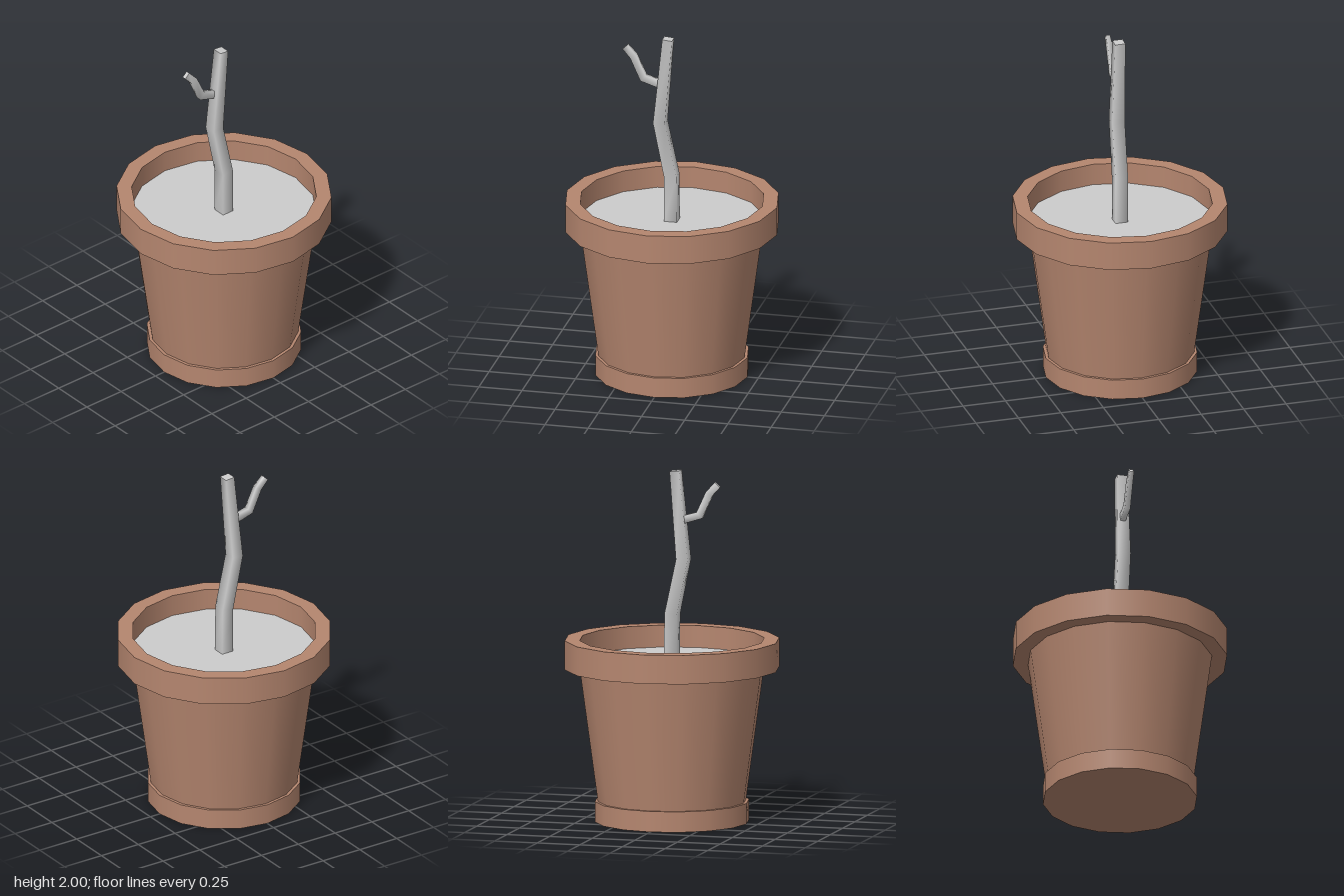
import * as THREE from 'three';
import { mergeGeometries } from 'three/addons/utils/BufferGeometryUtils.js';

const SIDES = 16;

// One lathe per straight profile step keeps the horizontal edges sharp.
function turned(profile) {
  const bands = [];
  for (let i = 0; i < profile.length - 1; i++) {
    const points = [profile[i], profile[i + 1]].map(([r, y]) => new THREE.Vector2(r, y));
    bands.push(new THREE.LatheGeometry(points, SIDES));
  }
  return mergeGeometries(bands);
}

// Square-section stem bending in the YZ plane; rings are [x, y, z, halfX, halfDepth].
function stem(rings) {
  const positions = [], index = [];
  const centre = rings.map(([x, y, z]) => new THREE.Vector3(x, y, z));
  const addCorners = (i) => {
    const [x, y, z, hx, hd] = rings[i];
    const before = centre[Math.max(i - 1, 0)];
    const after = centre[Math.min(i + 1, rings.length - 1)];
    const t = after.clone().sub(before).normalize();
    const n = new THREE.Vector3(0, -t.z, t.y).normalize();
    for (const [sx, sn] of [[1, 1], [1, -1], [-1, -1], [-1, 1]]) {
      positions.push(x + sx * hx, y + sn * hd * n.y, z + sn * hd * n.z);
    }
  };
  rings.forEach((_, i) => addCorners(i));
  for (let i = 0; i < rings.length - 1; i++) {
    for (let k = 0; k < 4; k++) {
      const a = i * 4 + k, b = i * 4 + (k + 1) % 4;
      index.push(a, b, b + 4, a, b + 4, a + 4);
    }
  }
  // End caps have their own corners so their edges stay sharp.
  const c = rings.length * 4;
  addCorners(0);
  index.push(c, c + 2, c + 1, c, c + 3, c + 2);
  addCorners(rings.length - 1);
  index.push(c + 4, c + 5, c + 6, c + 4, c + 6, c + 7);
  const geometry = new THREE.BufferGeometry();
  geometry.setAttribute('position', new THREE.Float32BufferAttribute(positions, 3));
  geometry.setIndex(index);
  geometry.computeVertexNormals();
  return geometry;
}

export function createModel() {
  const model = new THREE.Group();
  model.name = 'pottedSapling';

  const terracotta = new THREE.MeshStandardMaterial({ color: 0xb5866f });
  terracotta.name = 'terracotta';
  const paleGrey = new THREE.MeshStandardMaterial({ color: 0xcccccc });
  paleGrey.name = 'paleGrey';

  const add = (name, geometry, material) => {
    const mesh = new THREE.Mesh(geometry, material);
    mesh.name = name;
    model.add(mesh);
    return mesh;
  };

  // Pot: foot, tapering body and overhanging rim
  add('potFoot', turned([[0, 0], [0.437, 0], [0.437, 0.117], [0.41, 0.117]]), terracotta);
  add('potBody', turned([[0.42, 0.117], [0.522, 0.87]]), terracotta);
  add('potRim', turned([[0.515, 0.87], [0.608, 0.87], [0.608, 1.035], [0.523, 1.035], [0.523, 0.9]]), terracotta);

  // Soil surface inside the rim
  add('soil', turned([[0.523, 0.91], [0, 0.91]]), paleGrey);

  // Bent trunk and its forked side branch
  add('trunk', stem([
    [0, 0.905, 0, 0.037, 0.037],
    [0, 1.18, 0.002, 0.037, 0.036],
    [-0.002, 1.495, 0.068, 0.037, 0.034],
    [0, 1.997, 0.022, 0.03, 0.028],
  ]), paleGrey);
  add('branch', stem([
    [-0.005, 1.715, 0.05, 0.015, 0.023],
    [-0.005, 1.75, 0.165, 0.016, 0.023],
    [-0.006, 1.875, 0.222, 0.015, 0.021],
    [-0.008, 1.928, 0.271, 0.012, 0.02],
  ]), paleGrey);

  return model;
}
